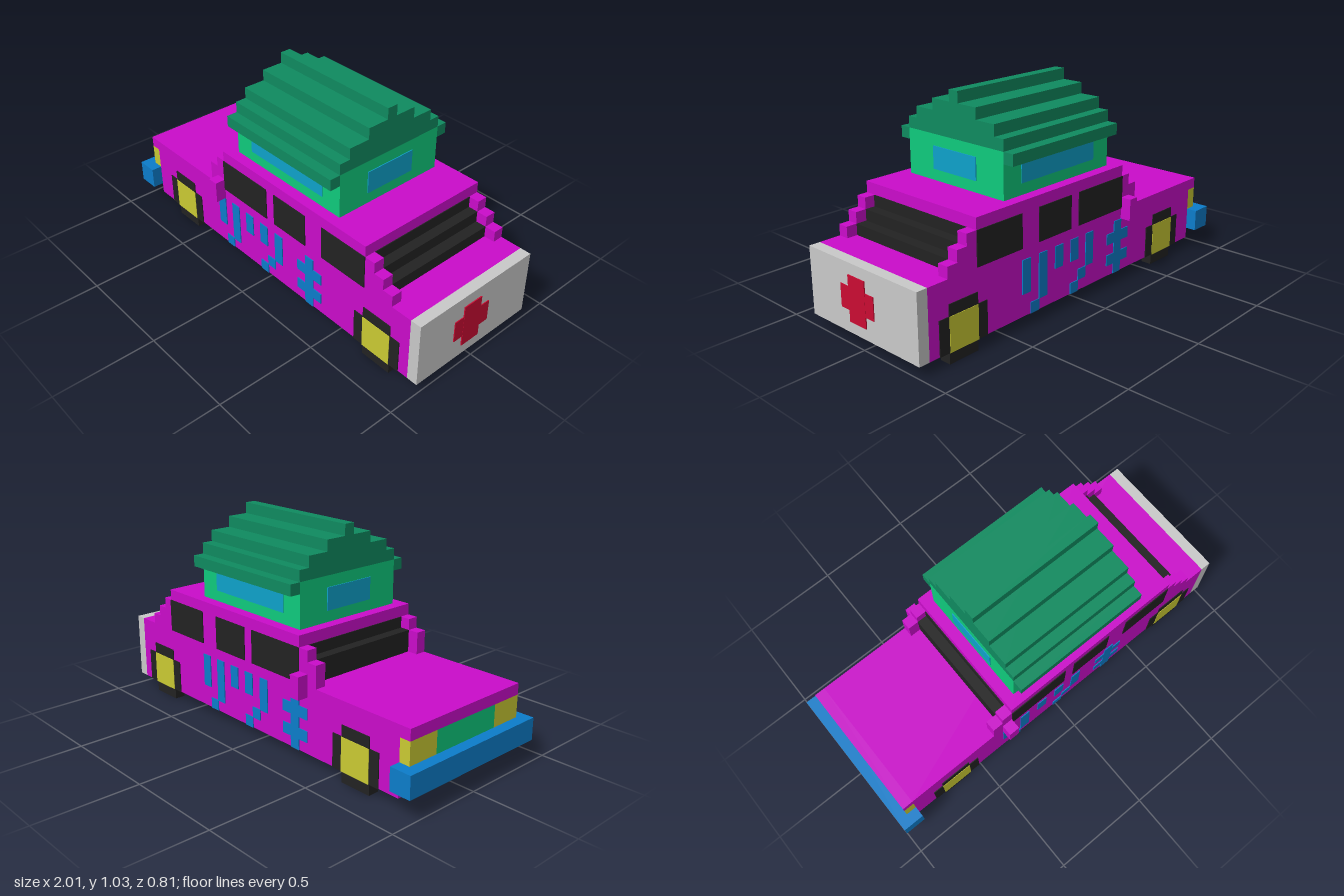
import * as THREE from 'three';

const U = 2 / 37; // one block
const T = 0.08;   // paint thickness, in blocks

const mat = (name, color) => {
  const m = new THREE.MeshStandardMaterial({ color });
  m.name = name;
  return m;
};

export function createModel() {
  const magenta = mat('magenta', 0xcb0ccb);
  const black = mat('black', 0x222222);
  const yellow = mat('yellow', 0xcbcb33);
  const blue = mat('blue', 0x0c7dcb);
  const grey = mat('grey', 0xcacaca);
  const red = mat('red', 0xcb0c33);
  const wallGreen = mat('wallGreen', 0x0fcb7d);
  const roofGreen = mat('roofGreen', 0x0f8b60);
  const glassBlue = mat('glassBlue', 0x0ea2cb);

  const model = new THREE.Group();
  model.name = 'houseCar';

  // Box between block coordinates: x from the bumper, y from the ground, z from the middle
  const box = (name, m, x0, x1, y0, y1, z0, z1) => {
    const mesh = new THREE.Mesh(new THREE.BoxGeometry((x1 - x0) * U, (y1 - y0) * U, (z1 - z0) * U), m);
    mesh.position.set((x0 + x1) / 2 * U - 1, (y0 + y1) / 2 * U, (z0 + z1) / 2 * U);
    mesh.name = name;
    model.add(mesh);
  };
  // The same box on both sides of the car
  const pair = (name, m, x0, x1, y0, y1, z0, z1) => {
    box(name, m, x0, x1, y0, y1, z0, z1);
    box(name, m, x0, x1, y0, y1, -z1, -z0);
  };
  // Thin paint on both side faces
  const sidePaint = (name, m, x0, x1, y0, y1, z = 6.5, t = T) => pair(name, m, x0, x1, y0, y1, z, z + t);

  // Body, bonnet lip and tail
  box('body', magenta, 2, 36, 1, 7, -6.5, 6.5);
  box('bonnetLip', magenta, 1, 2, 6, 7, -6.5, 6.5);
  box('tailgate', grey, 36, 37, 1, 7, -6.5, 6.5);
  box('crossBar', red, 37, 37 + T, 3, 5, -1.5, 2.5);
  box('crossPost', red, 37, 37 + T * 1.2, 2, 6, -0.5, 1.5);

  // Nose
  pair('headlight', yellow, 1, 2, 4, 6, 3.5, 6.5);
  box('grille', wallGreen, 1, 2, 4, 6, -3.5, 3.5);
  box('bumper', blue, 0, 2, 2, 4, -7.5, 7.5);

  // Cabin with stepped pillars
  box('cabin', magenta, 13, 31, 7, 11, -6.5, 6.5);
  for (const [x0, x1, y0, y1] of [[11, 13, 7, 9], [12, 13, 9, 10], [31, 34, 7, 8], [31, 33, 8, 9], [31, 32, 9, 10]])
    pair('pillar', magenta, x0, x1, y0, y1, 5.5, 6.5);
  pair('mirror', magenta, 12, 13, 6, 8, 6.5, 7.5);

  // Cabin glass
  box('windshield', black, 12, 13, 7, 9, -5.5, 5.5);
  box('windshieldTop', black, 13 - T, 13, 9, 10, -5.5, 5.5);
  box('rearGlassLow', black, 31, 33, 7, 8, -5.5, 5.5);
  box('rearGlassMiddle', black, 31, 32, 8, 9, -5.5, 5.5);
  box('rearGlassTop', black, 31, 31 + T, 9, 10, -5.5, 5.5);
  for (const [x0, x1] of [[13, 19], [20, 24], [26, 31]])
    sidePaint('sideWindow', black, x0, x1, 7, 10);

  // Wheels
  for (const x of [4, 30]) {
    pair('tyreFoot', black, x + 1, x + 4, 0, 1, 5.5, 6.5);
    sidePaint('tyreSides', black, x, x + 5, 1, 4);
    sidePaint('tyreTop', black, x + 1, x + 4, 4, 5);
    sidePaint('hub', yellow, x + 1, x + 4, 1, 4, 6.5, T * 1.5);
  }

  // Abstract dashes along the sides, turned around on the far side
  const dashes = [
    [12, 13, 3, 6], [14, 15, 2, 6], [13, 14, 1, 2], [16, 17, 4, 6], [18, 19, 4, 6],
    [20, 21, 3, 6], [19, 20, 2, 3], [18, 19, 1, 2],
    [24, 25, 1, 6], [23, 24, 4, 5], [25, 26, 4, 5], [23, 24, 2, 3], [25, 26, 2, 3],
  ];
  for (const [x0, x1, y0, y1] of dashes) {
    box('sideDash', blue, x0, x1, y0, y1, 6.5, 6.5 + T);
    box('sideDash', blue, 38 - x1, 38 - x0, y0, y1, -6.5 - T, -6.5);
  }

  // House on the roof
  box('houseWalls', wallGreen, 14, 27, 11, 15, -5.5, 5.5);
  sidePaint('houseSideWindow', glassBlue, 16, 25, 12, 14, 5.5);
  box('houseEndWindow', glassBlue, 27, 27 + T, 12, 14, -2.5, 2.5);
  box('houseEndWindow', glassBlue, 14 - T, 14, 12, 14, -2.5, 2.5);

  // Stepped gable roof and eaves
  pair('eave', roofGreen, 14, 27, 14, 15, 5.5, 6.5);
  [5.5, 4.5, 2.5, 0.5].forEach((z, i) => box('roofStep', roofGreen, 14, 27, 15 + i, 16 + i, -z, z));

  return model;
}
